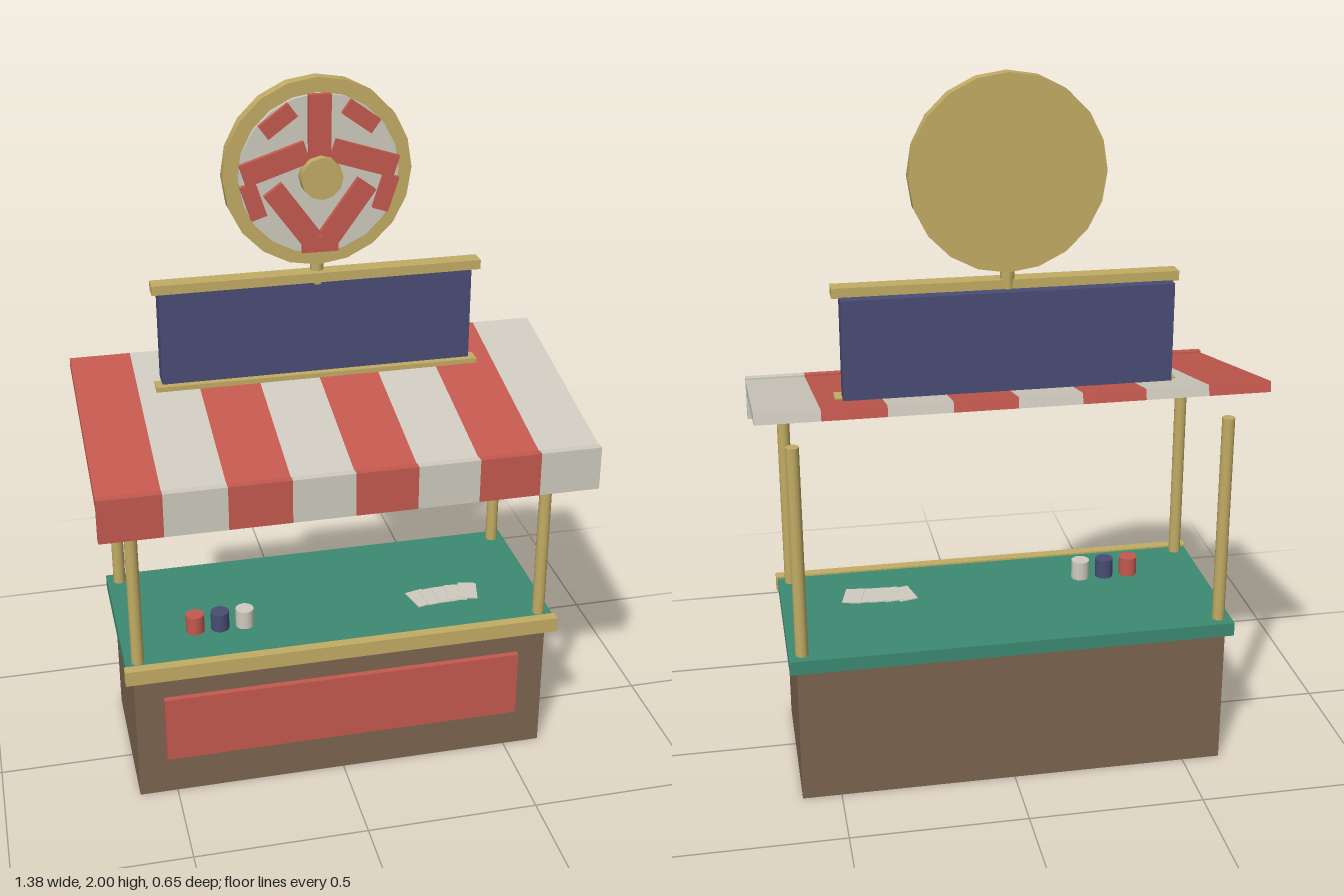
import * as THREE from 'three';

const paint = (name, color) => {
  const m = new THREE.MeshStandardMaterial({ color });
  m.name = name;
  return m;
};

export function createModel() {
  const red = paint('red', 0xc4594f);
  const cream = paint('cream', 0xcfcbbf);
  const gold = paint('gold', 0xc2ac64);
  const brown = paint('brown', 0x7c644f);
  const navy = paint('navy', 0x494d74);
  const green = paint('green', 0x3d8a72);

  const stall = new THREE.Group();
  stall.name = 'marketStall';

  const add = (name, geometry, material, x, y, z, parent = stall) => {
    const mesh = new THREE.Mesh(geometry, material);
    mesh.name = name;
    mesh.position.set(x, y, z);
    parent.add(mesh);
    return mesh;
  };
  // Box given by its minimum and maximum on each axis
  const block = (name, material, [x0, x1], [y0, y1], [z0, z1], parent = stall) =>
    add(name, new THREE.BoxGeometry(x1 - x0, y1 - y0, z1 - z0), material,
      (x0 + x1) / 2, (y0 + y1) / 2, (z0 + z1) / 2, parent);
  // Upright cylinder standing on y0
  const post = (name, material, r, x, y0, y1, z, sides = 12) =>
    add(name, new THREE.CylinderGeometry(r, r, y1 - y0, sides), material, x, (y0 + y1) / 2, z);

  // Counter
  block('counterBody', brown, [-0.61, 0.61], [0, 0.41], [-0.29, 0.196]);
  block('frontPanel', red, [-0.527, 0.527], [0.125, 0.33], [0.19, 0.214]);
  block('counterTop', green, [-0.63, 0.63], [0.41, 0.45], [-0.312, 0.206]);
  block('counterTrim', gold, [-0.635, 0.635], [0.41, 0.455], [0.204, 0.234]);

  // Four awning posts
  for (const x of [-0.593, 0.593]) {
    for (const z of [0.178, -0.272]) post('awningPost', gold, 0.018, x, 0.44, 1.064, z);
  }

  // Striped sloping awning with a hanging valance
  const awning = new THREE.Group();
  awning.name = 'awning';
  awning.position.set(0, 1.1, -0.008);
  awning.rotation.x = 0.205;
  stall.add(awning);
  const stripe = 1.38 / 8;
  for (let i = 0; i < 8; i++) {
    const span = [-0.69 + i * stripe, -0.69 + (i + 1) * stripe];
    const material = i % 2 ? cream : red;
    block('awningStripe', material, span, [-0.015, 0.015], [-0.32, 0.32], awning);
    block('valanceStripe', material, span, [0.928, 1.055], [0.306, 0.328]);
  }

  // Sign board with rails
  block('signBoard', navy, [-0.448, 0.448], [1.14, 1.43], [-0.2, -0.138]);
  block('signTopRail', gold, [-0.468, 0.468], [1.428, 1.455], [-0.167, -0.118]);
  block('signBottomRail', gold, [-0.468, 0.468], [1.134, 1.152], [-0.167, -0.118]);
  post('emblemPole', gold, 0.019, 0, 1.415, 1.62, -0.153, 8);

  // Round emblem facing forward
  const emblem = new THREE.Group();
  emblem.name = 'emblem';
  emblem.position.set(0, 1.738, 0);
  stall.add(emblem);
  const disc = (name, material, r, z0, z1, sides) => {
    const g = new THREE.CylinderGeometry(r, r, z1 - z0, sides).rotateX(Math.PI / 2);
    add(name, g, material, 0, 0, (z0 + z1) / 2, emblem);
  };
  disc('emblemRim', gold, 0.262, -0.171, -0.132, 20);
  disc('emblemFace', cream, 0.222, -0.135, -0.118, 20);
  disc('emblemHub', gold, 0.058, -0.12, -0.076, 12);
  for (let i = 0; i < 5; i++) {
    // Slanted spokes
    const a = (i * 2 * Math.PI) / 5;
    const spoke = add('emblemSpoke', new THREE.BoxGeometry(0.062, 0.185, 0.018), red,
      Math.sin(a) * 0.13, Math.cos(a) * 0.13, -0.111, emblem);
    spoke.rotation.z = a;
    // Short bars between them near the rim
    const b = a + Math.PI / 5;
    const bar = add('emblemBar', new THREE.BoxGeometry(0.1, 0.045, 0.016), red,
      Math.sin(b) * 0.193, Math.cos(b) * 0.193, -0.111, emblem);
    bar.rotation.z = -b;
  }

  // Cups on the counter
  [red, navy, cream].forEach((material, i) =>
    post('cup', material, 0.027, -0.41 + i * 0.073, 0.45, 0.506, 0.054));

  // Overlapping row of cards
  for (let i = 0; i < 5; i++) {
    const card = add('card', new THREE.BoxGeometry(0.055, 0.003, 0.085), cream,
      0.272 + i * 0.037, 0.4525 + i * 0.0015, 0.033);
    card.rotation.y = (2 - i) * 0.12;
  }

  return stall;
}
